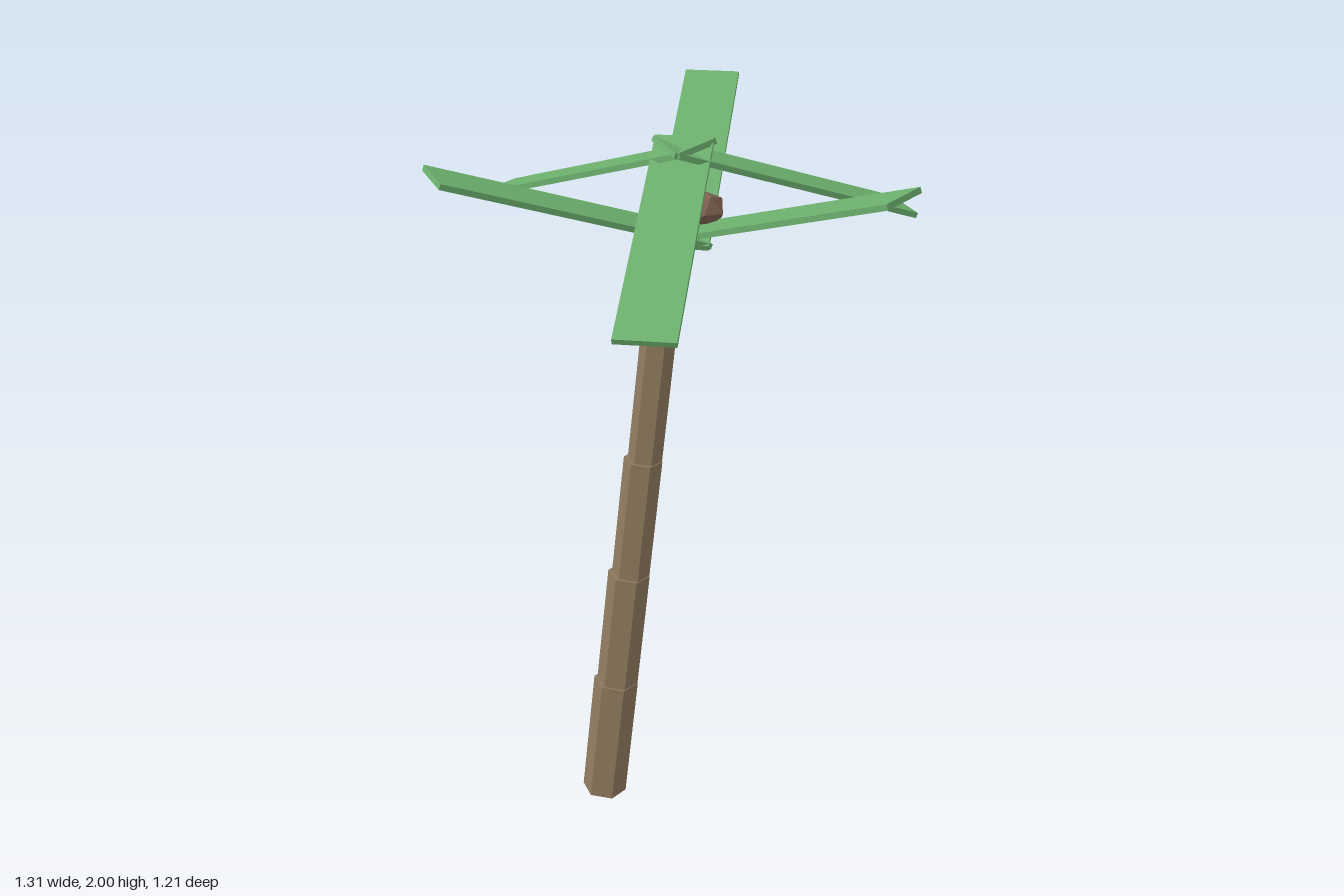
import * as THREE from 'three';

const mat = (color) => new THREE.MeshStandardMaterial({ color, flatShading: true });

export function createModel() {
  const model = new THREE.Group();
  model.name = 'palmTree';
  const bark = mat(0x8f7a5f), leaf = mat(0x6cb06e), shell = mat(0x7d6050);

  const add = (parent, name, geometry, material) => {
    const mesh = new THREE.Mesh(geometry, material);
    mesh.name = name;
    parent.add(mesh);
    return mesh;
  };

  // Leaning trunk: overlapping hexagonal segments, flush on the +x side and stepped on the other
  const trunk = new THREE.Group();
  trunk.name = 'trunk';
  trunk.position.x = -0.2;
  trunk.rotation.z = -THREE.MathUtils.degToRad(6.7);
  model.add(trunk);
  const length = 0.388, spacing = 0.3625;
  [0.065, 0.06, 0.054, 0.048, 0.041].forEach((r, i) => {
    const segment = add(trunk, 'trunkSegment' + (i + 1), new THREE.CylinderGeometry(r, r, length, 6), bark);
    segment.position.set(-r * Math.sqrt(3) / 2, i * spacing + length / 2, 0);
  });

  // Six plank fronds around the crown, alternately drooping and rising outwards
  const tilt = THREE.MathUtils.degToRad(20);
  for (let i = 0; i < 6; i++) {
    const pivot = new THREE.Group();
    pivot.name = 'frond' + (i + 1);
    pivot.position.y = 1.865;
    pivot.rotation.y = -i * Math.PI / 3;
    model.add(pivot);
    const blade = add(pivot, 'frondBlade', new THREE.BoxGeometry(0.75, 0.015, 0.152), leaf);
    blade.position.x = 0.301;
    blade.rotation.z = i % 2 ? tilt : -tilt;
  }

  // Three faceted coconuts nestled under the fronds
  for (let i = 0; i < 3; i++) {
    const a = i * Math.PI * 2 / 3;
    const nut = add(model, 'coconut' + (i + 1), new THREE.IcosahedronGeometry(0.05, 0), shell);
    nut.position.set(0.07 * Math.cos(a), 1.81, 0.07 * Math.sin(a));
    nut.rotation.y = Math.PI / 2;
  }

  return model;
}
